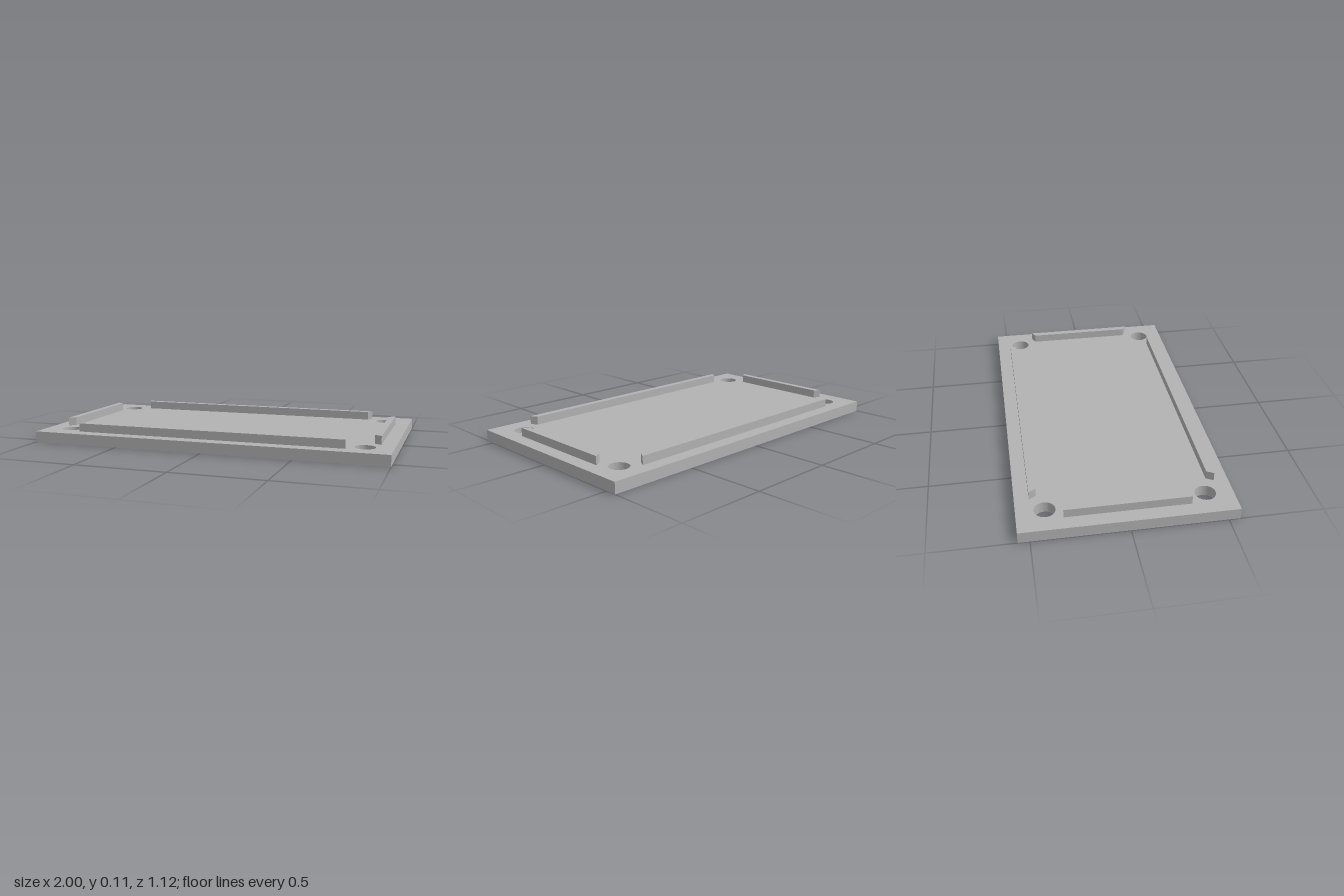
import * as THREE from 'three';
import { toCreasedNormals } from 'three/addons/utils/BufferGeometryUtils.js';

const PLATE_H = 0.062, RIB_H = 0.047;

// Extrude a ground-plan shape upwards
function extrudeUp(shape, height) {
  const g = new THREE.ExtrudeGeometry(shape, { depth: height, bevelEnabled: false, curveSegments: 40 });
  g.rotateX(-Math.PI / 2);
  return toCreasedNormals(g, Math.PI / 6);
}

// Trapezoid rib lying along x, its longer edge facing outwards (+z)
function ribGeometry(outerHalf, innerHalf, outer, inner) {
  const shape = new THREE.Shape([
    new THREE.Vector2(-outerHalf, -outer),
    new THREE.Vector2(outerHalf, -outer),
    new THREE.Vector2(innerHalf, -inner),
    new THREE.Vector2(-innerHalf, -inner),
  ]);
  return extrudeUp(shape, RIB_H);
}

export function createModel() {
  const model = new THREE.Group();
  model.name = 'coverPlate';
  const grey = new THREE.MeshStandardMaterial({ color: 0xb2b2b2 });
  grey.name = 'lightGrey';

  // Base plate with a screw hole in each corner
  const plan = new THREE.Shape([
    new THREE.Vector2(-1, -0.56), new THREE.Vector2(1, -0.56),
    new THREE.Vector2(1, 0.56), new THREE.Vector2(-1, 0.56),
  ]);
  for (const sx of [-1, 1]) for (const sz of [-1, 1]) {
    const hole = new THREE.Path();
    hole.absarc(sx * 0.851, sz * 0.413, 0.055, 0, Math.PI * 2, true);
    plan.holes.push(hole);
  }
  const plate = new THREE.Mesh(extrudeUp(plan, PLATE_H), grey);
  plate.name = 'basePlate';
  model.add(plate);

  // Locating ribs along the four edges
  const longRib = ribGeometry(0.761, 0.739, 0.484, 0.446);
  const shortRib = ribGeometry(0.326, 0.305, 0.922, 0.885);
  const ribs = [
    ['frontRib', longRib, 0], ['leftRib', shortRib, 1],
    ['backRib', longRib, 2], ['rightRib', shortRib, 3],
  ];
  for (const [name, geometry, quarterTurns] of ribs) {
    const rib = new THREE.Mesh(geometry, grey);
    rib.name = name;
    rib.position.y = PLATE_H;
    rib.rotation.y = quarterTurns * Math.PI / 2;
    model.add(rib);
  }
  return model;
}
